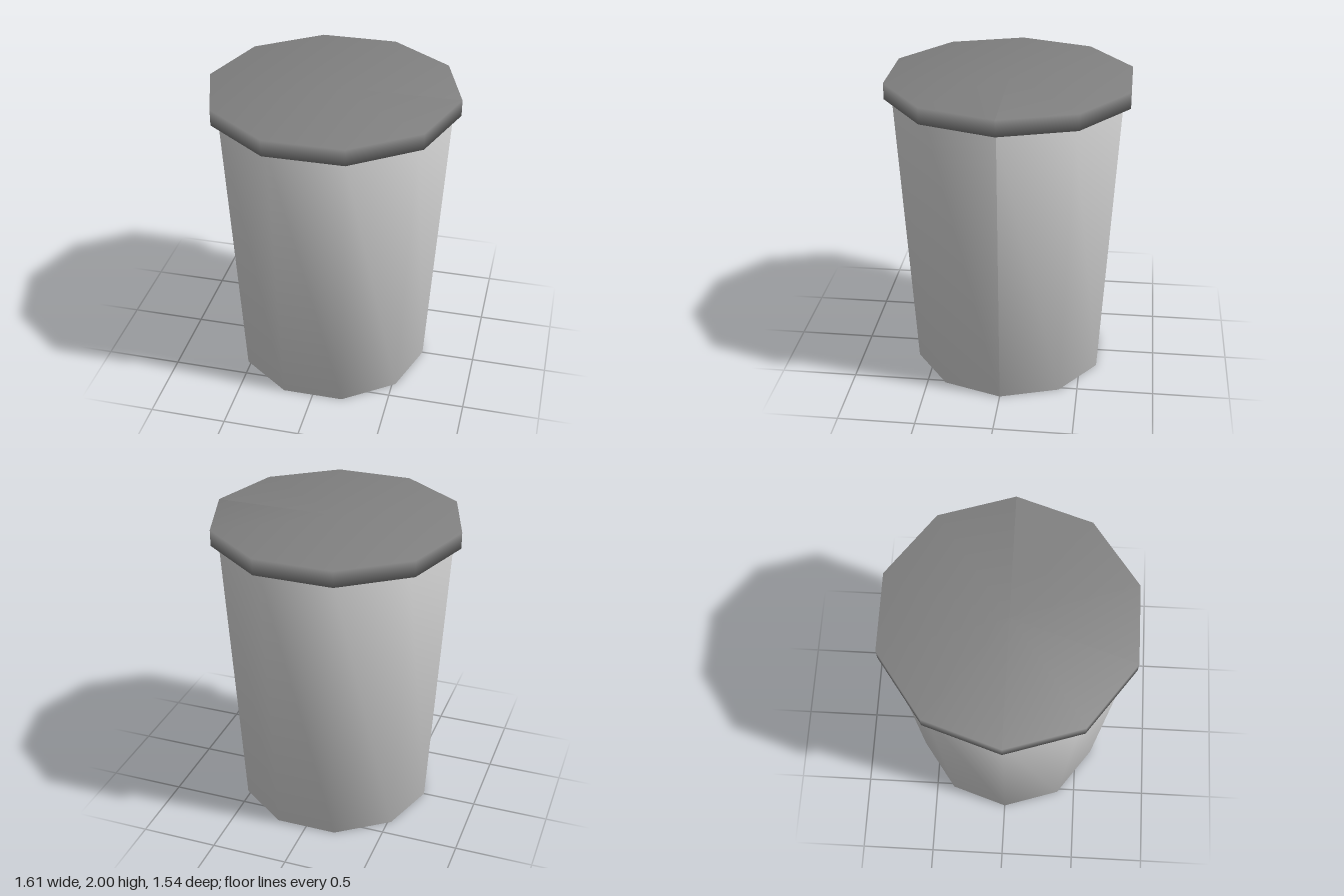
import * as THREE from 'three';

const SIDES = 10;

// Closed ten-sided solid turned from a profile, shaded smoothly over its rims
function turned(name, profile, color) {
  const points = profile.map(([r, y]) => new THREE.Vector2(r, y));
  const geometry = new THREE.LatheGeometry(points, SIDES, Math.PI / 2);
  geometry.computeVertexNormals();
  const mesh = new THREE.Mesh(geometry, new THREE.MeshStandardMaterial({ color }));
  mesh.name = name;
  return mesh;
}

export function createModel() {
  const group = new THREE.Group();
  group.name = 'liddedCup';

  // Tapered body, wider at the top
  group.add(turned('body', [[0, 0], [0.645, 0], [0.757, 1.9], [0, 1.9]], 0xcccccc));

  // Flat overhanging lid
  group.add(turned('lid', [[0, 1.895], [0.807, 1.895], [0.807, 2], [0, 2]], 0x808080));

  return group;
}
